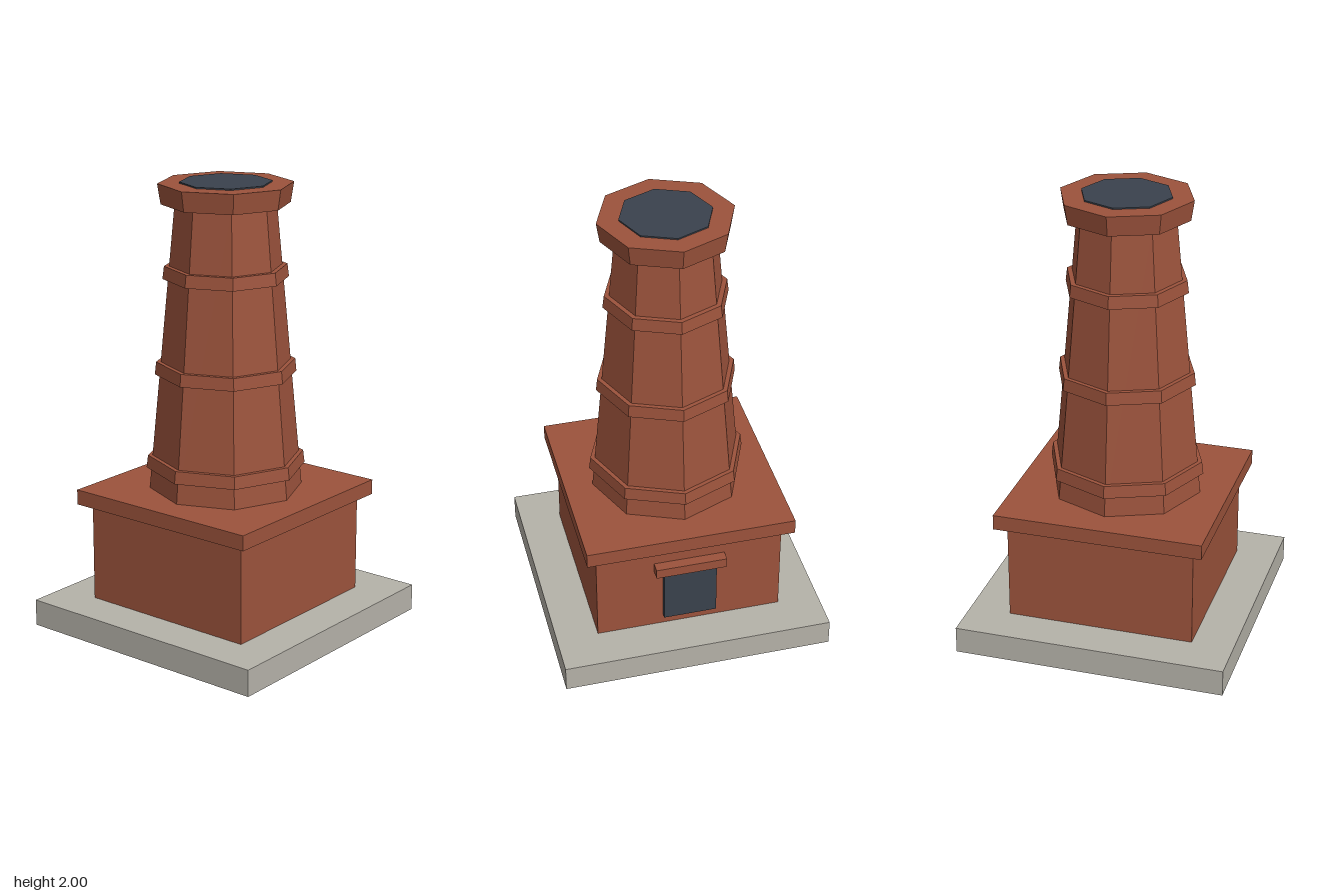
import * as THREE from 'three';

export function createModel() {
  const model = new THREE.Group();
  model.name = 'chimney';

  const material = (name, color) => {
    const m = new THREE.MeshStandardMaterial({ color, flatShading: true });
    m.name = name;
    return m;
  };
  const brick = material('brick', 0x9c533c);
  const stone = material('stone', 0xb5b2a9);
  const soot = material('soot', 0x3a424d);

  const add = (name, geometry, mat, y, z = 0) => {
    const mesh = new THREE.Mesh(geometry, mat);
    mesh.name = name;
    mesh.position.set(0, y, z);
    model.add(mesh);
  };
  // box spanning y0..y1
  const box = (name, mat, w, d, y0, y1, z = 0) =>
    add(name, new THREE.BoxGeometry(w, y1 - y0, d), mat, (y0 + y1) / 2, z);
  // tapered octagon spanning y0..y1
  const octagon = (name, mat, r0, r1, y0, y1) =>
    add(name, new THREE.CylinderGeometry(r1, r0, y1 - y0, 8), mat, (y0 + y1) / 2);

  // square base
  box('foundation', stone, 1.214, 1.214, 0, 0.12);
  box('plinth', brick, 0.84, 0.84, 0.12, 0.567);
  box('plinthCap', brick, 0.936, 0.936, 0.567, 0.635);

  // tapering shaft with raised bands
  octagon('shaft', brick, 0.34, 0.22, 0.635, 1.91);
  [[0.73, 0.353, 0.346], [1.155, 0.312, 0.306], [1.58, 0.275, 0.268]].forEach(
    ([y, r0, r1], i) => octagon(`band${i + 1}`, brick, r0, r1, y, y + 0.056));

  // flared crown and flue opening
  octagon('crown', brick, 0.28, 0.294, 1.905, 1.994);
  octagon('flueOpening', soot, 0.2, 0.2, 1.992, 2);

  // furnace door on the back
  box('door', soot, 0.24, 0.03, 0.17, 0.425, -0.43);
  box('doorLintel', brick, 0.32, 0.06, 0.433, 0.479, -0.437);

  return model;
}
